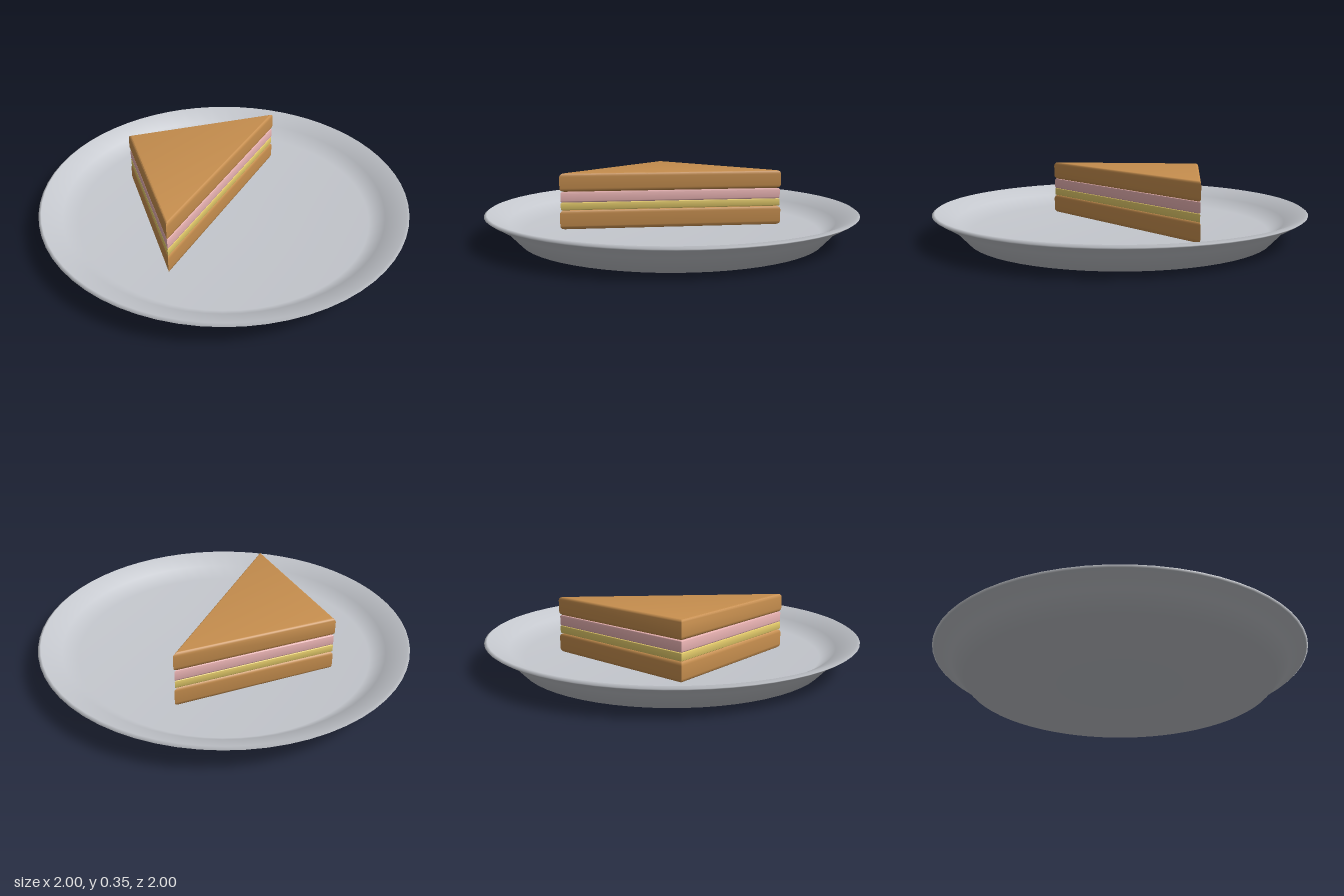
import * as THREE from 'three';
import { toCreasedNormals } from 'three/addons/utils/BufferGeometryUtils.js';

const material = (name, color) => {
  const m = new THREE.MeshStandardMaterial({ color });
  m.name = name;
  return m;
};

// Right-angled sandwich outline, as [x, z] corners
const corners = [[-0.1, 0.6], [0.12, -0.6], [-0.605, -0.115]];

// One triangular layer with softly rounded top and bottom edges
function layer(name, mat, bottom, top, bevel, scale) {
  const cx = -0.195, cz = -0.038;
  const shape = new THREE.Shape(corners.map(([x, z]) =>
    new THREE.Vector2(cx + (x - cx) * scale, -(cz + (z - cz) * scale))));
  const geometry = new THREE.ExtrudeGeometry(shape, {
    depth: top - bottom - 2 * bevel,
    bevelSize: bevel, bevelThickness: bevel, bevelOffset: -bevel, bevelSegments: 4,
  });
  geometry.rotateX(-Math.PI / 2);
  geometry.translate(0, bottom + bevel, 0);
  const mesh = new THREE.Mesh(toCreasedNormals(geometry, 0.6), mat);
  mesh.name = name;
  return mesh;
}

export function createModel() {
  const model = new THREE.Group();
  model.name = 'sandwichOnPlate';

  const china = material('grey china', 0xc4c7cd);
  const bread = material('toasted bread', 0xc68e4e);
  const cheese = material('cheese', 0xe4cb6a);
  const ham = material('ham', 0xe6b0b0);

  // Plate: underside, flared wall, thin rim and sunken floor
  const profile = [
    [0, 0], [0.82, 0], [0.9, 0.085], [0.99, 0.138], [1, 0.146],
    [0.985, 0.156], [0.88, 0.105], [0.8, 0.045], [0, 0.045],
  ].map(([r, y]) => new THREE.Vector2(r, y));
  const plate = new THREE.Mesh(new THREE.LatheGeometry(profile, 64), china);
  plate.name = 'plate';
  model.add(plate);

  // Sandwich: bread, cheese, ham, bread
  const sandwich = new THREE.Group();
  sandwich.name = 'sandwich';
  sandwich.add(
    layer('bottomBread', bread, 0.045, 0.15, 0.02, 1),
    layer('cheeseSlice', cheese, 0.15, 0.192, 0.006, 0.992),
    layer('hamSlice', ham, 0.192, 0.25, 0.008, 0.992),
    layer('topBread', bread, 0.25, 0.35, 0.02, 1),
  );
  model.add(sandwich);
  return model;
}
